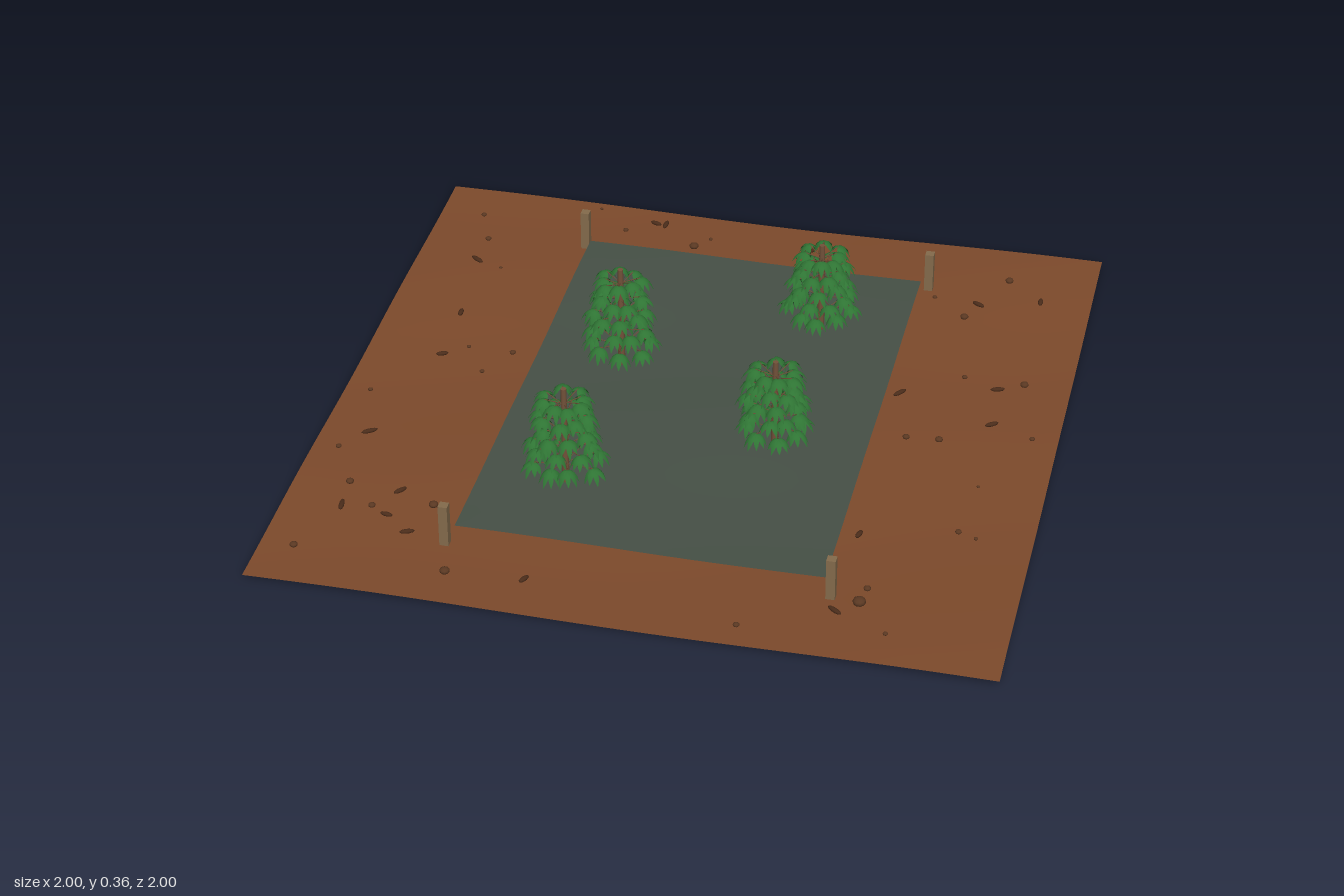
import * as THREE from 'three';
import { mergeGeometries } from 'three/addons/utils/BufferGeometryUtils.js';

const mat = (name, color, side = THREE.FrontSide) => {
  const m = new THREE.MeshStandardMaterial({ color, side });
  m.name = name;
  return m;
};

// gentle unevenness of the soil and of the sheet
const soilHeight = (x, z) => 0.01 + 0.005 * Math.sin(4 * x + 1.2) * Math.cos(3 * z) + 0.003 * Math.sin(7 * z + 2 * x);
const sheetHeight = (x, z) => 0.05 + 0.003 * Math.sin(6 * x + 0.5) * Math.cos(5 * z) + 0.002 * Math.sin(9 * z);

function wavyPlane(w, d, nx, nz, height) {
  const g = new THREE.PlaneGeometry(w, d, nx, nz).rotateX(-Math.PI / 2);
  const p = g.attributes.position;
  for (let i = 0; i < p.count; i++) p.setY(i, height(p.getX(i), p.getZ(i)));
  g.computeVertexNormals();
  return g;
}

// one narrow leaflet along +x that arches down to its tip
function leafletGeometry(length, width, droop) {
  const g = new THREE.PlaneGeometry(1, 1, 4, 2).rotateX(-Math.PI / 2);
  const p = g.attributes.position;
  for (let i = 0; i < p.count; i++) {
    const t = p.getX(i) + 0.5;
    const side = p.getZ(i) * 2;
    const half = width * 0.5 * Math.pow(Math.sin(Math.PI * (0.06 + 0.94 * t)), 0.8);
    p.setXYZ(i, length * t * (1 - 0.22 * t), 0.15 * length * t - droop * t * t - Math.abs(side) * half * 0.35, side * half);
  }
  g.computeVertexNormals();
  return g;
}

// crown of drooping hand-shaped leaves in tiers, plus their stalks
function crownGeometries(height, seed) {
  let s = seed;
  const rnd = () => ((s = (s * 16807) % 2147483647) / 2147483647);
  const leaves = [], stalks = [];
  const tiers = 5, perTier = 8;
  for (let k = 0; k < tiers; k++) {
    const f = k / (tiers - 1);
    const y0 = THREE.MathUtils.lerp(0.128, height - 0.03, f);
    for (let j = 0; j < perTier; j++) {
      const a = ((j + 0.5 * (k % 2) + 0.3 * rnd()) / perTier) * Math.PI * 2 + seed;
      const r = THREE.MathUtils.lerp(0.084, 0.052, f) * (0.8 + 0.3 * rnd());
      const y = y0 + 0.012 * (rnd() - 0.3);
      const hub = new THREE.Vector3(Math.cos(a) * r, y, -Math.sin(a) * r);
      stalks.push(new THREE.TubeGeometry(new THREE.LineCurve3(new THREE.Vector3(0, y - 0.02, 0), hub), 1, 0.0016, 4));
      for (let i = -3; i <= 3; i++) {
        const len = 0.05 - 0.004 * Math.abs(i);
        leaves.push(leafletGeometry(len, 0.0155, 0.034 + 0.014 * rnd())
          .rotateY(a + i * 0.66 + 0.2 * (rnd() - 0.5)).translate(hub.x, hub.y, hub.z));
      }
    }
  }
  return { leaves: mergeGeometries(leaves), stalks: mergeGeometries(stalks) };
}

export function createModel() {
  const root = new THREE.Group();
  const soil = mat('soil', 0x7d4a2b, THREE.DoubleSide);
  const sheetMat = mat('greyGreenSheet', 0x465046, THREE.DoubleSide);
  const wood = mat('postWood', 0x846b4c);
  const bark = mat('bark', 0x73523a);
  const leaf = mat('leafGreen', 0x2f7534, THREE.DoubleSide);
  const clodMat = mat('clodBrown', 0x5a3822);
  const litterMat = mat('litterBrown', 0x4a2c1a);

  const add = (name, geo, material, parent = root) => {
    const m = new THREE.Mesh(geo, material);
    m.name = name;
    parent.add(m);
    return m;
  };

  add('ground', wavyPlane(2, 2, 40, 40, soilHeight), soil);
  add('sheet', wavyPlane(1, 1.45, 30, 40, sheetHeight), sheetMat);

  // corner posts
  for (const x of [-0.52, 0.52]) for (const z of [-0.75, 0.75])
    add('cornerPost', new THREE.BoxGeometry(0.025, 0.13, 0.025), wood).position.set(x, 0.07, z);

  // plants: x, z, height
  [[0.26, -0.42, 0.33], [-0.255, -0.125, 0.36], [0.25, 0.175, 0.325], [-0.265, 0.46, 0.35]].forEach(([x, z, h], i) => {
    const plant = new THREE.Group();
    plant.name = 'plant';
    plant.position.set(x, 0, z);
    root.add(plant);
    add('stem', new THREE.CylinderGeometry(0.008, 0.011, h - 0.03, 8), bark, plant).position.y = (h + 0.03) / 2;
    const crown = crownGeometries(h, 11 + i * 37);
    add('leaves', crown.leaves, leaf, plant);
    add('leafStalks', crown.stalks, bark, plant);
  });

  // small round clods: x, z, radius
  const clods = [
    [-0.86, -0.83, 0.008], [-0.52, -0.94, 0.005], [-0.42, -0.84, 0.008], [-0.2, -0.8, 0.014], [-0.16, -0.85, 0.006],
    [0.51, -0.83, 0.013], [0.75, -0.81, 0.012], [0.65, -0.6, 0.012], [0.55, -0.68, 0.007], [-0.81, -0.7, 0.009],
    [-0.73, -0.55, 0.005], [-0.58, -0.14, 0.009], [-0.64, -0.03, 0.007], [-0.71, -0.14, 0.006], [0.7, -0.3, 0.008],
    [0.87, -0.3, 0.012], [0.93, -0.04, 0.008], [0.68, 0.02, 0.011], [0.59, 0.03, 0.01], [0.82, 0.21, 0.005],
    [0.8, 0.42, 0.009], [0.85, 0.44, 0.006], [-0.92, 0.13, 0.007], [-0.92, 0.42, 0.008], [-0.84, 0.57, 0.011],
    [-0.59, 0.62, 0.013], [-0.57, 0.625, 0.009], [-0.9, 0.87, 0.011], [-0.48, 0.89, 0.014], [0.61, 0.72, 0.01],
    [0.6, 0.78, 0.018], [0.69, 0.9, 0.007], [0.31, 0.94, 0.009], [-0.75, 0.66, 0.01],
  ];
  for (const [x, z, r] of clods) {
    const m = add('clod', new THREE.SphereGeometry(r, 10, 6), clodMat);
    m.scale.y = 0.65;
    m.position.set(x, soilHeight(x, z) + 0.02, z);
  }

  // fallen dry leaves: x, z, turn
  const litter = [
    [-0.34, -0.9, -0.3], [-0.31, -0.9, 1.5], [0.14, -0.85, 0.5], [0.855, -0.72, 1.6], [0.68, -0.67, -0.5], [-0.81, -0.58, -0.6],
    [-0.78, -0.3, 1.6], [0.8, -0.26, 0.3], [0.535, -0.18, 0.9], [-0.775, -0.09, 0.4], [0.81, -0.085, 0.6],
    [-0.86, 0.33, 0.6], [0.545, 0.49, 1.3], [-0.695, 0.58, 0.9], [-0.83, 0.675, 1.7], [-0.7, 0.69, -0.15],
    [-0.625, 0.75, 0.4], [0.545, 0.83, -0.6], [-0.27, 0.875, 1.1],
  ];
  litter.forEach(([x, z, turn], i) => {
    const m = add('dryLeaf', new THREE.SphereGeometry(1, 10, 6), litterMat);
    m.scale.set(0.018 + 0.006 * (i % 3) / 2, 0.006, 0.0075);
    m.rotation.y = turn;
    m.position.set(x, soilHeight(x, z) + 0.02, z);
  });
  return root;
}
